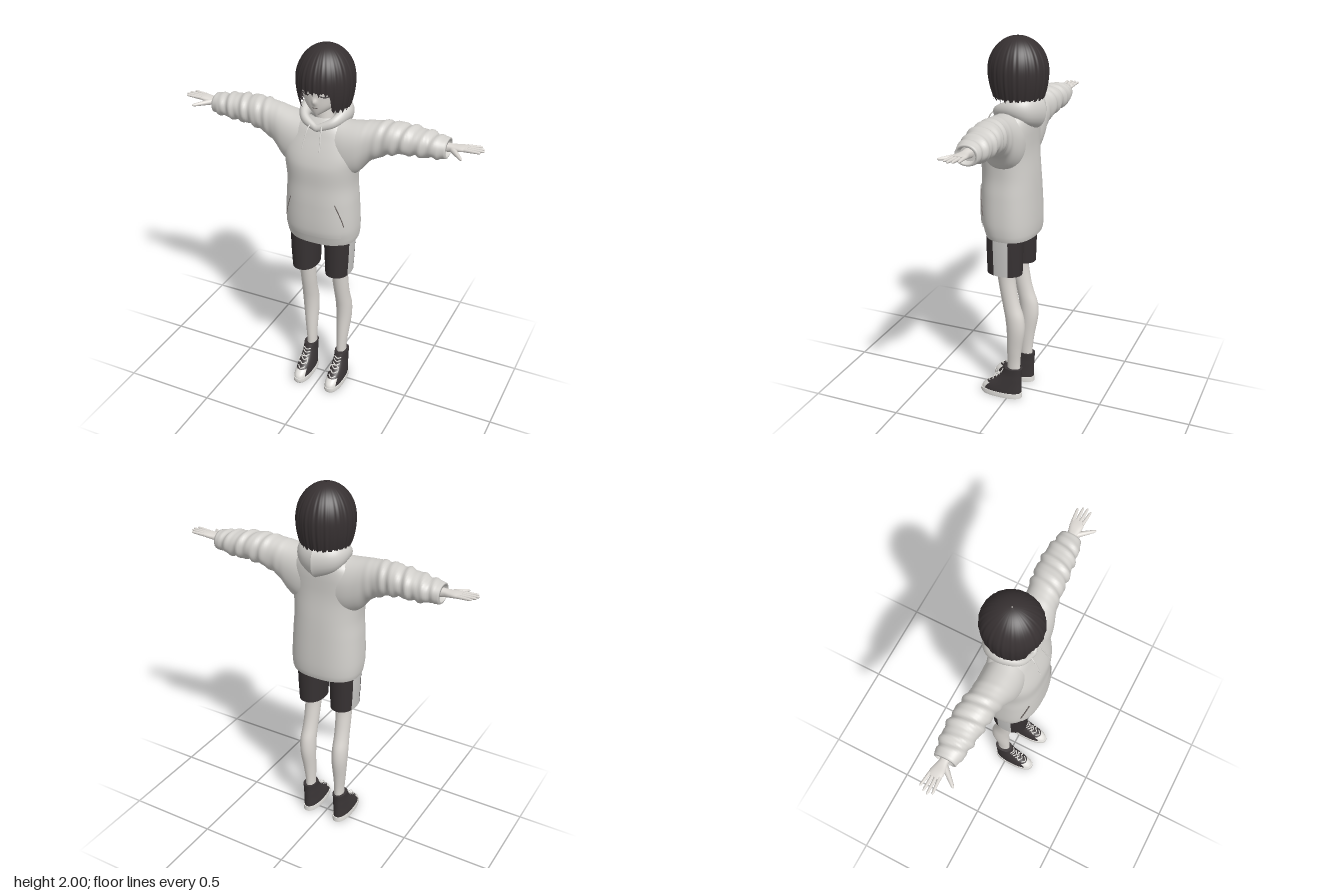
import * as THREE from 'three';

const V = (x, y, z) => new THREE.Vector3(x, y, z);
const mat = (name, color, side = THREE.FrontSide) => {
  const m = new THREE.MeshStandardMaterial({ color, side });
  m.name = name;
  return m;
};

// Smooth interpolation of table rows [key, a, b, c...]
function sampler(rows) {
  const slope = (i, k) => {
    const p = rows[Math.max(i - 1, 0)], q = rows[Math.min(i + 1, rows.length - 1)];
    return (q[k] - p[k]) / (q[0] - p[0]);
  };
  return (u) => {
    let i = 0;
    while (i < rows.length - 2 && u > rows[i + 1][0]) i++;
    const p = rows[i], q = rows[i + 1], h = q[0] - p[0];
    const t = Math.min(Math.max((u - p[0]) / h, 0), 1), s = t * t * (3 - 2 * t);
    return p.slice(1).map((v, k) => v + (q[k + 1] - v) * s
      + h * slope(i, k + 1) * t * (1 - t) ** 2 - h * slope(i + 1, k + 1) * t * t * (1 - t));
  };
}

// Skin over rings of points; closed rings may be capped at both ends
function loft(rings, { closed = true, caps = true } = {}) {
  const n = rings[0].length, pos = [], idx = [];
  rings.forEach((r) => r.forEach((p) => pos.push(p.x, p.y, p.z)));
  for (let i = 0; i < rings.length - 1; i++) {
    for (let j = 0; j < (closed ? n : n - 1); j++) {
      const a = i * n + j, b = i * n + (j + 1) % n;
      idx.push(a, b, b + n, a, b + n, a + n);
    }
  }
  if (closed && caps) {
    [0, rings.length - 1].forEach((i) => {
      const c = rings[i].reduce((s, p) => s.add(p), V(0, 0, 0)).divideScalar(n), base = pos.length / 3;
      rings[i].forEach((p) => pos.push(p.x, p.y, p.z));
      pos.push(c.x, c.y, c.z);
      for (let j = 0; j < n; j++) {
        const a = base + j, b = base + (j + 1) % n;
        idx.push(...(i ? [a, b, base + n] : [b, a, base + n]));
      }
    });
  }
  const g = new THREE.BufferGeometry();
  g.setAttribute('position', new THREE.Float32BufferAttribute(pos, 3));
  g.setIndex(idx);
  g.computeVertexNormals();
  return g;
}

const pw = (v, n) => Math.sign(v) * Math.abs(v) ** (2 / n);
const angles = (n, a0 = 0, a1 = 2 * Math.PI, open = false) =>
  Array.from({ length: n }, (_, i) => a0 + (a1 - a0) * i / (open ? n - 1 : n));
const range = (a, b, n) => Array.from({ length: n + 1 }, (_, i) => a + (b - a) * i / n);
// Horizontal ring: half width, front z, back z
const flat = (y, [rx, zf, zb, cx = 0], n = 2, as = angles(48)) => as.map((a) =>
  V(cx + rx * pw(Math.sin(a), n), y, (zf + zb) / 2 + (zf - zb) / 2 * pw(Math.cos(a), n)));
// Upright ring across the arm: top, bottom, front, back
const upright = (x, [yt, yb, zf, zb], n = 2, as = angles(40)) => as.map((a) =>
  V(x, (yt + yb) / 2 + (yt - yb) / 2 * pw(Math.cos(a), n), (zf + zb) / 2 + (zf - zb) / 2 * pw(Math.sin(a), n)));
// Front surface depth of a sampled body
const front = (f, n, x, y) => {
  const [rx, zf, zb] = f(y);
  return (zf + zb) / 2 + (zf - zb) / 2 * Math.max(0, 1 - Math.abs(x / rx) ** n) ** (1 / n);
};
const tube = (pts, r, seg = 16) => new THREE.TubeGeometry(new THREE.CatmullRomCurve3(pts), seg, r, 6);

function mirrored(g) {
  const m = g.clone().scale(-1, 1, 1), ix = m.index.array;
  for (let i = 0; i < ix.length; i += 3) [ix[i], ix[i + 1]] = [ix[i + 1], ix[i]];
  m.computeVertexNormals();
  return m;
}

export function createModel() {
  const root = new THREE.Group();
  root.name = 'standingFigure';
  const cloth = mat('hoodieGrey', 0xd2d0cc, THREE.DoubleSide), skin = mat('paleSkin', 0xdcd8d3);
  const hairM = mat('darkHair', 0x373132, THREE.DoubleSide), shortsM = mat('darkShorts', 0x373233, THREE.DoubleSide);
  const stripeM = mat('lightStripe', 0xc9c8c6, THREE.DoubleSide), white = mat('shoeWhite', 0xe4e2de, THREE.DoubleSide);
  const shoeM = mat('darkCanvas', 0x3b3637), line = mat('softLine', 0x6d6562);
  const add = (name, g, m) => {
    const mesh = new THREE.Mesh(g, m);
    mesh.name = name;
    root.add(mesh);
  };
  const pair = (name, g, m) => {
    add(name + 'Left', g, m);
    add(name + 'Right', mirrored(g), m);
  };

  // Hoodie body
  const torso = sampler([[0.965, 0.186, 0.14, -0.125], [0.985, 0.192, 0.146, -0.13], [1.05, 0.197, 0.162, -0.132],
    [1.2, 0.191, 0.165, -0.125], [1.3, 0.185, 0.161, -0.118], [1.4, 0.194, 0.162, -0.108], [1.45, 0.204, 0.152, -0.105],
    [1.5, 0.205, 0.135, -0.105], [1.55, 0.195, 0.115, -0.105], [1.6, 0.16, 0.095, -0.1], [1.645, 0.085, 0.065, -0.08]]);
  add('hoodieBody', loft(range(0.965, 1.645, 44).map((y) => flat(y, torso(y), 2.4, angles(64))), { caps: false }), cloth);

  // Front pocket and its side openings
  const pocketW = sampler([[1.02, 0.15], [1.06, 0.163], [1.1, 0.16], [1.17, 0.14], [1.23, 0.118]]);
  add('frontPocket', loft(range(1.02, 1.23, 14).map((y) => range(-1, 1, 30).map((u) => {
    const x = u * pocketW(y)[0];
    return V(x, y, front(torso, 2.4, x, y) + 0.006);
  })), { closed: false }), cloth);
  pair('pocketOpening', tube(range(1.09, 1.22, 6).map((y) => {
    const x = pocketW(y)[0];
    return V(x, y, front(torso, 2.4, x, y) + 0.004);
  }), 0.003), line);

  // Wide sleeves with soft folds, turned in at the cuff
  const sleeve = sampler([[0.08, 1.635, 1.33, 0.11, -0.095], [0.14, 1.635, 1.34, 0.115, -0.095], [0.2, 1.642, 1.375, 0.108, -0.09],
    [0.25, 1.65, 1.435, 0.092, -0.085], [0.3, 1.656, 1.468, 0.08, -0.086], [0.36, 1.66, 1.495, 0.074, -0.095],
    [0.43, 1.655, 1.51, 0.068, -0.1], [0.52, 1.645, 1.512, 0.056, -0.1], [0.59, 1.632, 1.52, 0.046, -0.09], [0.64, 1.625, 1.525, 0.035, -0.08]]);
  const sleeveRings = range(0.08, 0.64, 64).map((x) => {
    const k = 0.0045 * Math.min(1, Math.max(0, (x - 0.22) / 0.15)) * (x > 0.61 ? 0.2 : 1);
    return upright(x, sleeve(x), 2.2).map((p, j) => {
      const a = j / 40 * 2 * Math.PI, w = k * (Math.sin(x * 85 + 1.6 * Math.sin(a)) + 0.6 * Math.sin(x * 141 + 2 * a));
      return V(p.x, p.y + w * Math.cos(a), p.z + w * Math.sin(a));
    });
  });
  sleeveRings.push(upright(0.642, [1.615, 1.535, 0.025, -0.07]), upright(0.61, [1.61, 1.54, 0.02, -0.065]));
  pair('sleeve', loft(sleeveRings), cloth);

  // Hood lying round the neck, full at the back and thin at the throat
  const hood = sampler([[0, 0, 1.6, 0.098, 0.018, 0.016], [0.8, 0.075, 1.632, 0.068, 0.028, 0.022], [1.57, 0.1, 1.655, -0.005, 0.042, 0.034],
    [2.3, 0.075, 1.645, -0.07, 0.07, 0.05], [Math.PI, 0, 1.63, -0.1, 0.09, 0.064]]);
  const hoodRings = angles(64, Math.PI, -Math.PI, true).map((a) => {
    const [x, y, z, ry, rr] = hood(Math.abs(a));
    return angles(20).map((b) => {
      const out = rr * Math.cos(b), s = Math.sign(a);
      return V(s * x + out * Math.sin(a), y + ry * Math.sin(b), z + out * Math.cos(a));
    });
  });
  add('hood', loft(hoodRings.reverse(), { caps: false }), cloth);
  pair('drawstring', tube([V(0.03, 1.62, 0.1), V(0.037, 1.6, 0.122), V(0.043, 1.55, 0.146), V(0.048, 1.51, 0.163)], 0.0035), cloth);

  // Neck and head with a small nose
  add('neck', new THREE.CylinderGeometry(0.042, 0.05, 0.18, 28).translate(0, 1.64, -0.005), skin);
  const head = sampler([[1.672, 0.012, 0.1, 0.06], [1.69, 0.042, 0.107, 0.02], [1.72, 0.078, 0.114, -0.04], [1.76, 0.1, 0.118, -0.08],
    [1.8, 0.112, 0.12, -0.1], [1.86, 0.112, 0.118, -0.11], [1.92, 0.088, 0.09, -0.09], [1.96, 0.03, 0.03, -0.04]]);
  add('head', loft(range(1.672, 1.96, 44).map((y) => flat(y, head(y), 2, angles(80)).map((p) => {
    if (p.z > 0) p.z += 0.014 * Math.exp(-((p.x / 0.011) ** 2) - ((y - 1.747) / 0.016) ** 2);
    return p;
  }))), skin);

  // Closed eyes and mouth
  pair('closedEye', tube(range(0.028, 0.074, 8).map((x) => {
    const y = 1.782 - 0.007 * (1 - ((x - 0.051) / 0.023) ** 2);
    return V(x, y, front(head, 2, x, y) + 0.001);
  }), 0.003), hairM);
  add('mouth', tube(range(-0.014, 0.014, 6).map((x) => V(x, 1.714, front(head, 2, x, 1.714))), 0.0022), line);

  // Bob haircut: ridged shell with ragged fringe and side locks
  const hairRows = range(1, 0.004, 30).map((t) => angles(256, -Math.PI, Math.PI).map((a) => {
    const jag = 0.02 * Math.abs(Math.sin(a * 13 + 0.4)) + 0.012 * Math.abs(Math.sin(a * 29));
    const end = THREE.MathUtils.lerp(1.775, 1.675, THREE.MathUtils.smoothstep(Math.abs(a), 0.5, 0.75)) + jag;
    const y = 2 - (2 - end) * t ** 1.6;
    const s = y > 1.83 ? Math.sqrt(Math.max(0, 1 - ((y - 1.83) / 0.17) ** 2)) : 1 - 0.18 * ((1.83 - y) / 0.15) ** 2;
    const k = s * (1 + 0.012 * t * Math.sin(a * 26) + 0.008 * t * Math.sin(a * 43));
    const c = Math.cos(a);
    return V(0.146 * k * Math.sin(a), y, -0.012 + k * (c > 0 ? 0.152 : 0.155) * c);
  }));
  add('bobHair', loft(hairRows, { caps: false }), hairM);

  // Forearm, palm, fingers and thumb
  const limb = (a, b, r0, r1, flatness = 1) => {
    const side = V(0, 0, 1).addScaledVector(b.clone().sub(a).normalize(), -b.clone().sub(a).normalize().z).normalize();
    return loft([0, 0.15, 0.5, 0.85, 0.96, 1].map((t) => {
      const r = (r0 + (r1 - r0) * t) * (t === 1 ? 0.3 : t > 0.9 ? 0.75 : 1);
      const c = a.clone().lerp(b, t);
      return angles(12).map((q) => c.clone().addScaledVector(side, r * Math.sin(q)).add(V(0, r * flatness * Math.cos(q), 0)));
    }));
  };
  const palm = sampler([[0.58, 1.605, 1.55, 0.006, -0.052], [0.645, 1.601, 1.561, 0.0, -0.046], [0.67, 1.6, 1.567, 0.005, -0.052],
    [0.705, 1.602, 1.575, 0.009, -0.06], [0.735, 1.601, 1.583, 0.006, -0.061]]);
  pair('palm', loft(range(0.58, 0.735, 16).map((x) => upright(x, palm(x), 2.4, angles(24)))), skin);
  [[-0.052, 0.796, -0.062], [-0.035, 0.812, -0.038], [-0.018, 0.818, -0.016], [-0.002, 0.806, 0.006]].forEach(([z0, x1, z1], i) =>
    pair('finger' + (i + 1), limb(V(0.722, 1.591, z0), V(x1, 1.596, z1), 0.0095, 0.006), skin));
  pair('thumb', limb(V(0.665, 1.578, -0.008), V(0.735, 1.575, 0.072), 0.016, 0.007), skin);

  // Shorts with a light stripe on each outer side
  add('shortsSeat', loft([0.985, 1.03, 1.1].map((y) => flat(y, [0.172, 0.122, -0.085], 2.4))), shortsM);
  const legHole = [[0.758, 0.068, 0.118, -0.074, 0.097], [0.85, 0.073, 0.12, -0.076, 0.098], [0.95, 0.077, 0.121, -0.078, 0.098], [1.02, 0.078, 0.12, -0.08, 0.096]];
  const shortPart = (a0, a1, n) => loft(legHole.map(([y, ...s]) => flat(y, s, 2.2, angles(n, a0, a1, true))), { closed: false });
  pair('shortsStripe', shortPart(1.2, 1.98, 12), stripeM);
  pair('shortsLeg', shortPart(1.98, 1.2 + 2 * Math.PI, 44), shortsM);

  // Legs
  const leg = sampler([[0.14, 0.026, 0.008, -0.064, 0.093], [0.22, 0.027, 0.01, -0.064, 0.094], [0.3, 0.033, 0.01, -0.073, 0.097],
    [0.42, 0.042, 0.01, -0.092, 0.101], [0.5, 0.043, 0.018, -0.087, 0.102], [0.57, 0.041, 0.032, -0.064, 0.1], [0.64, 0.042, 0.046, -0.047, 0.098],
    [0.75, 0.045, 0.064, -0.034, 0.096], [0.9, 0.056, 0.08, -0.05, 0.096]]);
  pair('leg', loft(range(0.14, 0.9, 40).map((y) => flat(y, leg(y), 2, angles(32)))), skin);

  // High-top shoes: sole, canvas, toe cap and laces
  const shoe = sampler([[0.02, 0.044, 0.162, -0.07], [0.045, 0.044, 0.155, -0.071], [0.07, 0.042, 0.13, -0.071], [0.09, 0.04, 0.1, -0.071],
    [0.115, 0.038, 0.068, -0.072], [0.145, 0.036, 0.043, -0.073], [0.182, 0.037, 0.026, -0.076]]);
  const at = (y, grow = 0) => { const [rx, zf, zb] = shoe(y); return [rx + grow, zf + grow, zb - grow, 0.097]; };
  pair('shoeSole', loft([[0, 0.046, 0.162], [0.012, 0.048, 0.17], [0.03, 0.047, 0.168]].map(([y, rx, zf]) =>
    flat(y, [rx, zf, -0.075, 0.097], 2.4))), white);
  pair('shoeUpper', loft(range(0.02, 0.182, 20).map((y) => flat(y, at(y), 2.3))), shoeM);
  pair('toeCap', loft(range(0.025, 0.072, 8).map((y) => flat(y, at(y, 0.003), 2.3, angles(20, -0.75, 0.75, true))), { closed: false }), white);
  [0.078, 0.094, 0.11, 0.126, 0.142, 0.158].forEach((y, i) => {
    const p = (x, dy) => V(0.097 + x, y + dy, front(shoe, 2.3, x, y + dy) + 0.002);
    pair('lace' + (i + 1), tube([p(-0.021, 0.004), p(0, -0.002), p(0.021, 0.004)], 0.0035, 8), white);
  });
  [-1, 1].forEach((s) => pair(s < 0 ? 'innerBow' : 'outerBow', tube([V(0.097, 0.125, 0.067), V(0.097 + s * 0.018, 0.132, 0.075),
    V(0.097 + s * 0.027, 0.11, 0.086), V(0.097 + s * 0.022, 0.095, 0.092)], 0.003), white));
  return root;
}
